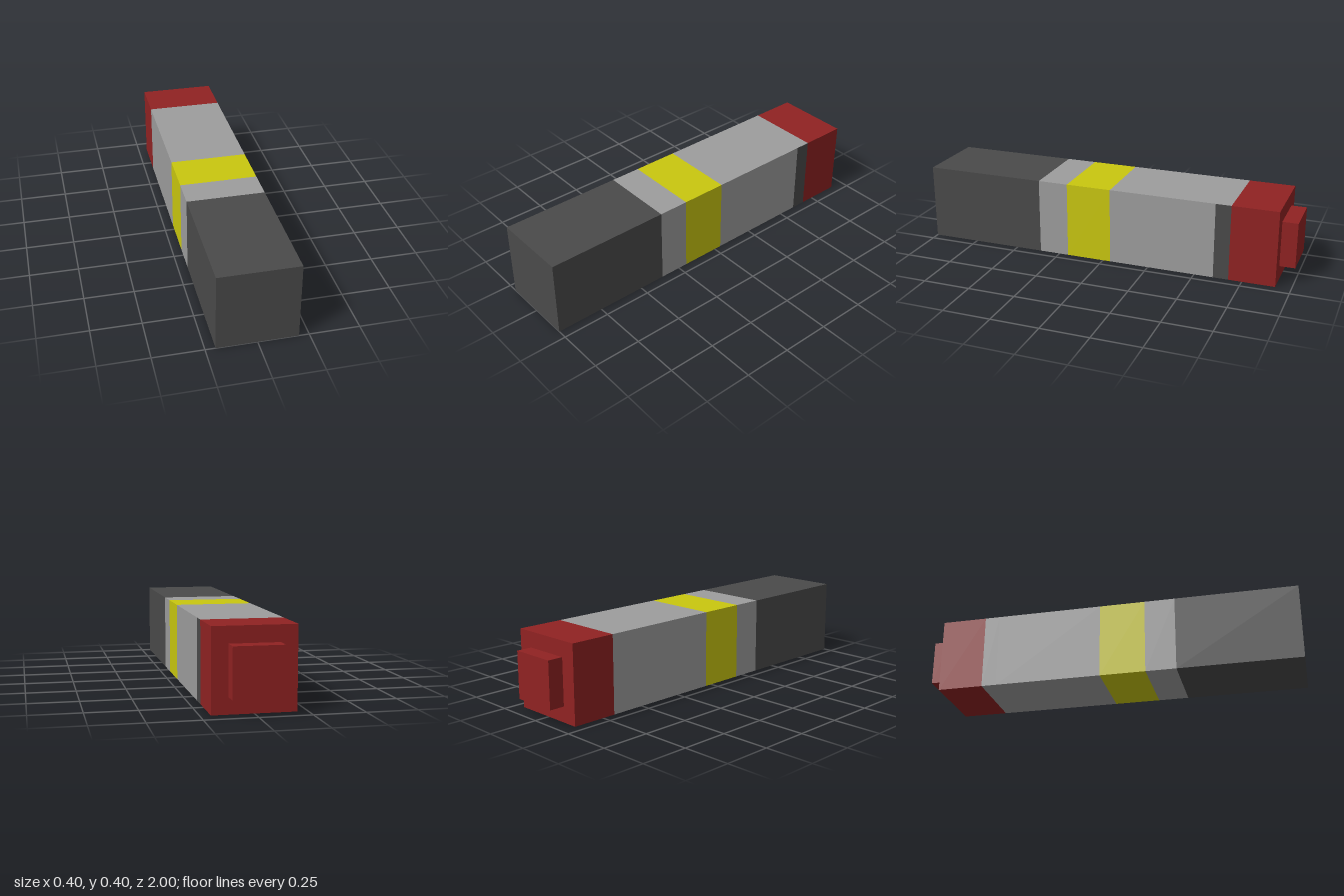
import * as THREE from 'three';

const paint = (name, color) => {
  const m = new THREE.MeshStandardMaterial({ color });
  m.name = name;
  return m;
};

export function createModel() {
  const dark = paint('darkGrey', 0x4a4a4a);
  const grey = paint('lightGrey', 0x9d9d9d);
  const yellow = paint('yellow', 0xc9c70f);
  const red = paint('red', 0x902222);

  const model = new THREE.Group();
  model.name = 'handle';

  // Square section from zBack to zFront; hidden ends are left out.
  // Box faces run +x, -x, +y, -y, +z, -z, six indices each.
  function section(name, material, zFront, zBack, { size = 0.4, front = false, back = false } = {}) {
    const geometry = new THREE.BoxGeometry(size, size, zFront - zBack);
    const index = Array.from(geometry.index.array);
    geometry.setIndex([
      ...index.slice(0, 24),
      ...(front ? index.slice(24, 30) : []),
      ...(back ? index.slice(30, 36) : []),
    ]);
    geometry.clearGroups();
    if (Array.isArray(material)) {
      geometry.addGroup(0, 6, 0); // left side
      geometry.addGroup(6, 18, 1); // other sides
    }
    const mesh = new THREE.Mesh(geometry, material);
    mesh.name = name;
    mesh.position.set(0, 0.2, (zFront + zBack) / 2);
    model.add(mesh);
  }

  section('grip', dark, 1, 0.36, { front: true });
  section('frontCollar', grey, 0.36, 0.2);
  section('yellowBand', yellow, 0.2, -0.04);
  section('barrel', grey, -0.04, -0.6);
  // dark mark on the left side only
  section('markedCollar', [dark, grey], -0.6, -0.68);
  section('endCap', red, -0.68, -0.92, { back: true });
  section('endButton', red, -0.92, -1, { size: 0.24, back: true });

  return model;
}
